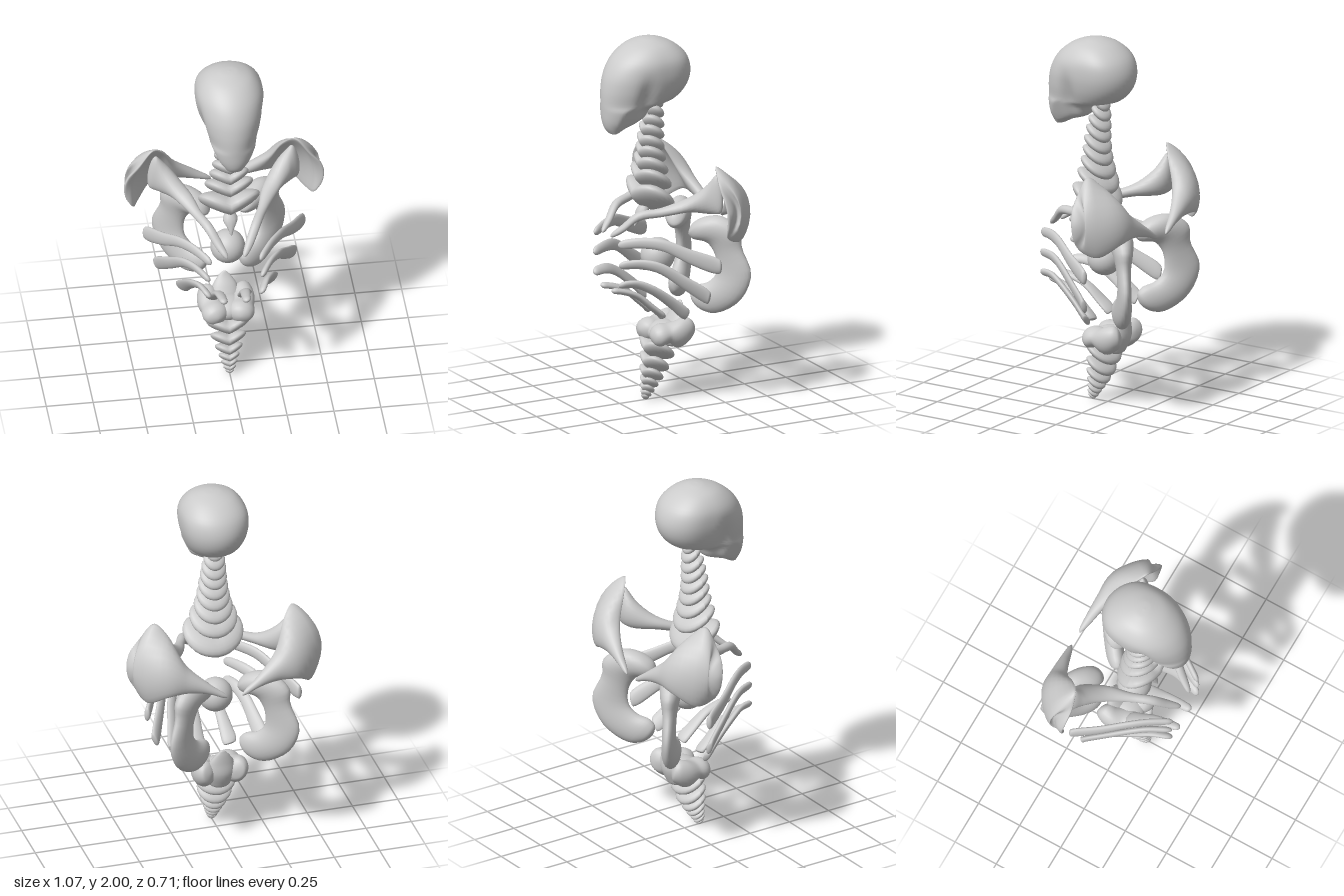
import * as THREE from 'three';

const material = new THREE.MeshStandardMaterial({ color: 0xcccccc, side: THREE.DoubleSide });
const V = (x, y, z) => new THREE.Vector3(x, y, z);

// Smooth bone lofted between two edge curves.
// Rows: [edgeA, edgeB, halfThickness, bulge]; reshape(point) may adjust each point.
function bone(name, rows, { steps = 36, sides = 24, round = 0.06, reshape } = {}) {
  const curveA = new THREE.CatmullRomCurve3(rows.map(r => r[0]));
  const curveB = new THREE.CatmullRomCurve3(rows.map(r => r[1]));
  const thick = new THREE.CatmullRomCurve3(rows.map((r, i) => V(r[2], r[3] || 0, i)));
  const middle = t => curveA.getPoint(t).add(curveB.getPoint(t)).multiplyScalar(0.5);
  const pos = [], index = [];
  for (let i = 0; i <= steps; i++) {
    const t = (1 - Math.cos(Math.PI * i / steps)) / 2;
    const tangent = middle(Math.min(1, t + 0.01)).sub(middle(Math.max(0, t - 0.01)));
    const half = curveA.getPoint(t).sub(curveB.getPoint(t)).multiplyScalar(0.5);
    const normal = tangent.cross(half).normalize();
    const k = Math.min(1, Math.min(t, 1 - t) / round);
    const s = Math.sqrt(1 - (1 - k) ** 2);
    const th = thick.getPoint(t);
    for (let j = 0; j < sides; j++) {
      const a = 2 * Math.PI * j / sides;
      const p = middle(t).addScaledVector(half, Math.cos(a) * s)
        .addScaledVector(normal, s * (th.x * Math.sin(a) + th.y * Math.sin(a) ** 2));
      if (reshape) reshape(p);
      pos.push(p.x, p.y, p.z);
      if (i < steps) {
        const b = i * sides + j, c = i * sides + (j + 1) % sides;
        index.push(b, c, b + sides, c, c + sides, b + sides);
      }
    }
  }
  const geo = new THREE.BufferGeometry();
  geo.setAttribute('position', new THREE.Float32BufferAttribute(pos, 3));
  geo.setIndex(index);
  geo.computeVertexNormals();
  return named(name, geo);
}

function named(name, geo) {
  const mesh = new THREE.Mesh(geo, material);
  mesh.name = name;
  return mesh;
}

function ellipsoid(name, [x, y, z], [rx, ry, rz]) {
  const mesh = named(name, new THREE.SphereGeometry(1, 28, 18));
  mesh.scale.set(rx, ry, rz);
  mesh.position.set(x, y, z);
  return mesh;
}

// Lens-shaped vertebra, level behind and swept up to the sides in front
function vertebra(name, [y, z, w, h, d]) {
  const geo = new THREE.SphereGeometry(1, 28, 14);
  const p = geo.attributes.position;
  for (let i = 0; i < p.count; i++) {
    const px = p.getX(i), py = p.getY(i), pz = p.getZ(i);
    const lift = w * Math.abs(px) * (0.3 + 0.25 * pz) + 0.34 * d * pz - 0.12 * w;
    p.setXYZ(i, px * w, py * h + lift, pz * d);
  }
  geo.computeVertexNormals();
  const mesh = named(name, geo);
  mesh.position.set(0, y, z);
  return mesh;
}

function buildSkull() {
  // y, front z, back z, half width
  const rows = [
    [1.495, 0.31, 0.28, 0.035], [1.53, 0.335, 0.215, 0.062], [1.57, 0.347, 0.115, 0.1],
    [1.63, 0.352, 0.075, 0.124], [1.67, 0.353, -0.07, 0.14], [1.74, 0.35, -0.135, 0.165],
    [1.82, 0.332, -0.152, 0.179], [1.9, 0.285, -0.125, 0.171], [1.965, 0.205, -0.05, 0.122],
    [1.995, 0.12, 0.03, 0.05], [2.0, 0.085, 0.075, 0.006],
  ].map(([y, f, b, w]) => [V(0, y, f), V(0, y, b), w]);
  const smooth = THREE.MathUtils.smoothstep;
  // Hollow temples behind a face that narrows downward; fuller cranium behind
  const reshape = (p) => {
    const low = smooth(1.88 - p.y, 0, 0.22);
    p.x *= 1 - 0.2 * low * Math.exp(-(((p.z - 0.16) / 0.045) ** 2));
    p.x *= 1 + 0.14 * smooth(0.08 - p.z, 0, 0.2);
    const over = Math.abs(p.x) - 0.05 - 0.48 * Math.max(0, p.y - 1.505);
    if (over > 0) p.x -= Math.sign(p.x) * over * 0.8 * smooth(p.z, 0.14, 0.25);
  };
  return bone('skull', rows, { steps: 60, sides: 64, round: 0.03, reshape });
}

// All paired bones, for the +x side
function buildSide() {
  const side = new THREE.Group();

  // Shoulder blade with an arm reaching round the back
  side.add(bone('shoulderBlade', [
    [V(0.04, 0.985, -0.345), V(0.04, 0.96, -0.335), 0.01, 0],
    [V(0.14, 1.06, -0.31), V(0.14, 1.0, -0.33), 0.026, 0],
    [V(0.25, 1.16, -0.25), V(0.25, 1.02, -0.325), 0.035, -0.015],
    [V(0.32, 1.3, -0.17), V(0.36, 1.01, -0.32), 0.03, -0.045],
    [V(0.38, 1.355, -0.12), V(0.45, 0.945, -0.23), 0.028, -0.065],
    [V(0.455, 1.27, -0.105), V(0.485, 0.98, -0.14), 0.03, -0.055],
    [V(0.53, 1.18, -0.115), V(0.538, 1.07, -0.13), 0.025, -0.01],
  ], { steps: 48 }));

  // Collar bone sweeping forward and down from the blade
  side.add(bone('collarBone', [
    [V(0.38, 1.33, -0.14), V(0.42, 1.1, -0.15), 0.02],
    [V(0.31, 1.245, -0.12), V(0.33, 1.08, -0.12), 0.05],
    [V(0.24, 1.15, -0.02), V(0.23, 1.08, -0.03), 0.044],
    [V(0.18, 1.1, 0.1), V(0.17, 1.055, 0.09), 0.026],
    [V(0.13, 1.08, 0.21), V(0.12, 1.035, 0.2), 0.025],
    [V(0.085, 1.01, 0.28), V(0.075, 0.97, 0.27), 0.022],
    [V(0.05, 0.955, 0.335), V(0.04, 0.935, 0.325), 0.012],
  ]));

  // C-shaped rear plate, slanting outward to the back, thickest at its ends
  const slant = (z, y) => V(0.105 + (-0.14 - z) * 1.18, y, z);
  side.add(bone('rearPlate', [
    [-0.15, 1.0, -0.115, 0.92, 0.045], [-0.24, 1.02, -0.135, 0.885, 0.064],
    [-0.31, 0.95, -0.19, 0.87, 0.052], [-0.315, 0.86, -0.22, 0.8, 0.038],
    [-0.35, 0.72, -0.22, 0.7, 0.036], [-0.31, 0.57, -0.19, 0.65, 0.045],
    [-0.22, 0.485, -0.145, 0.625, 0.048], [-0.15, 0.5, -0.12, 0.58, 0.03],
  ].map(([za, ya, zb, yb, t]) => [slant(za, ya), slant(zb, yb), t])));

  // Ribs: centre path and the direction of the flat of the blade
  const ribs = [
    { flat: V(0, 1, 0), path: [[0.13, 0.92, 0.33], [0.205, 0.935, 0.22], [0.27, 0.925, 0.13], [0.345, 0.865, 0.01], [0.405, 0.82, -0.1], [0.425, 0.81, -0.135]] },
    { flat: V(0.35, 0.92, 0), path: [[0.14, 0.81, 0.33], [0.2, 0.815, 0.22], [0.25, 0.795, 0.14], [0.31, 0.71, 0.02], [0.355, 0.645, -0.07], [0.37, 0.625, -0.095]] },
    { flat: V(0.65, 0.75, 0), path: [[0.14, 0.7, 0.33], [0.17, 0.7, 0.24], [0.2, 0.665, 0.16], [0.225, 0.58, 0.05], [0.24, 0.525, -0.01], [0.245, 0.51, -0.03]] },
    { flat: V(0.98, 0.2, 0), path: [[0.06, 0.65, 0.33], [0.065, 0.63, 0.25], [0.07, 0.6, 0.18], [0.08, 0.53, 0.1], [0.085, 0.485, 0.05], [0.085, 0.465, 0.035]] },
  ];
  const halfWidths = [0.025, 0.03, 0.033, 0.042, 0.046, 0.036];
  ribs.forEach(({ flat, path }, r) => side.add(bone('rib' + (r + 1), path.map((p, i) => {
    const mid = V(...p), w = halfWidths[i] * (r === 3 ? 0.85 : 1);
    return [mid.clone().addScaledVector(flat, w), mid.clone().addScaledVector(flat, -w), 0.016];
  }), { sides: 16 })));

  // Hip: rounded lobe in front, waist, and a taller wing behind
  side.add(bone('hip', [
    [V(0.06, 0.4, 0.1), V(0.055, 0.33, 0.095), 0.04],
    [V(0.075, 0.425, 0.05), V(0.06, 0.305, 0.05), 0.07],
    [V(0.085, 0.425, 0), V(0.07, 0.325, 0), 0.065],
    [V(0.11, 0.445, -0.06), V(0.07, 0.29, -0.05), 0.062],
    [V(0.105, 0.45, -0.105), V(0.06, 0.32, -0.1), 0.056],
    [V(0.08, 0.43, -0.13), V(0.06, 0.36, -0.13), 0.035],
  ], { round: 0.1 }));
  return side;
}

export function createModel() {
  const model = new THREE.Group();
  model.name = 'skeleton';
  model.add(buildSkull());

  // Neck, widening downward: y, z, half width, half height, half depth
  [
    [1.64, 0.035, 0.05, 0.034, 0.04], [1.59, 0.04, 0.058, 0.036, 0.05],
    [1.535, 0.05, 0.066, 0.038, 0.06], [1.48, 0.057, 0.072, 0.04, 0.066],
    [1.42, 0.062, 0.08, 0.042, 0.072], [1.36, 0.062, 0.09, 0.044, 0.078],
    [1.295, 0.06, 0.105, 0.048, 0.088], [1.225, 0.06, 0.13, 0.052, 0.102],
    [1.13, 0.065, 0.165, 0.066, 0.117],
  ].forEach((v, i) => model.add(vertebra('neckVertebra' + (i + 1), v)));

  // Tail, tapering to the ground
  [
    [0.275, 0.025, 0.115, 0.045, 0.085], [0.2, 0.04, 0.095, 0.04, 0.072],
    [0.142, 0.058, 0.074, 0.033, 0.06], [0.097, 0.072, 0.056, 0.026, 0.047],
    [0.063, 0.083, 0.044, 0.022, 0.036], [0.036, 0.092, 0.034, 0.018, 0.028],
    [0.018, 0.098, 0.024, 0.014, 0.02],
  ].forEach((v, i) => model.add(vertebra('tailVertebra' + (i + 1), v)));

  // Breastbone spike and heart ball
  model.add(bone('breastSpike', [
    [V(0, 1.1, 0.11), V(0, 1.09, 0.07), 0.012], [V(0, 1.05, 0.145), V(0, 1.04, 0.085), 0.04],
    [V(0, 1.0, 0.16), V(0, 1.0, 0.125), 0.018], [V(0, 0.965, 0.165), V(0, 0.965, 0.155), 0.004],
  ], { steps: 16, sides: 12 }));
  model.add(ellipsoid('heartBall', [0, 0.79, 0.02], [0.092, 0.092, 0.092]));

  // Sacrum with its rising spike
  model.add(ellipsoid('sacrum', [0, 0.36, -0.02], [0.1, 0.065, 0.095]));
  model.add(bone('sacrumSpike', [
    [V(0, 0.28, -0.01), V(0, 0.27, -0.09), 0.05], [V(0, 0.38, -0.02), V(0, 0.37, -0.13), 0.08],
    [V(0, 0.45, -0.06), V(0, 0.44, -0.128), 0.065], [V(0, 0.495, -0.095), V(0, 0.49, -0.125), 0.035],
    [V(0, 0.522, -0.112), V(0, 0.52, -0.12), 0.01],
  ]));

  const left = buildSide();
  left.name = 'leftSide';
  const right = buildSide();
  right.name = 'rightSide';
  right.scale.x = -1;
  model.add(left, right);
  return model;
}
